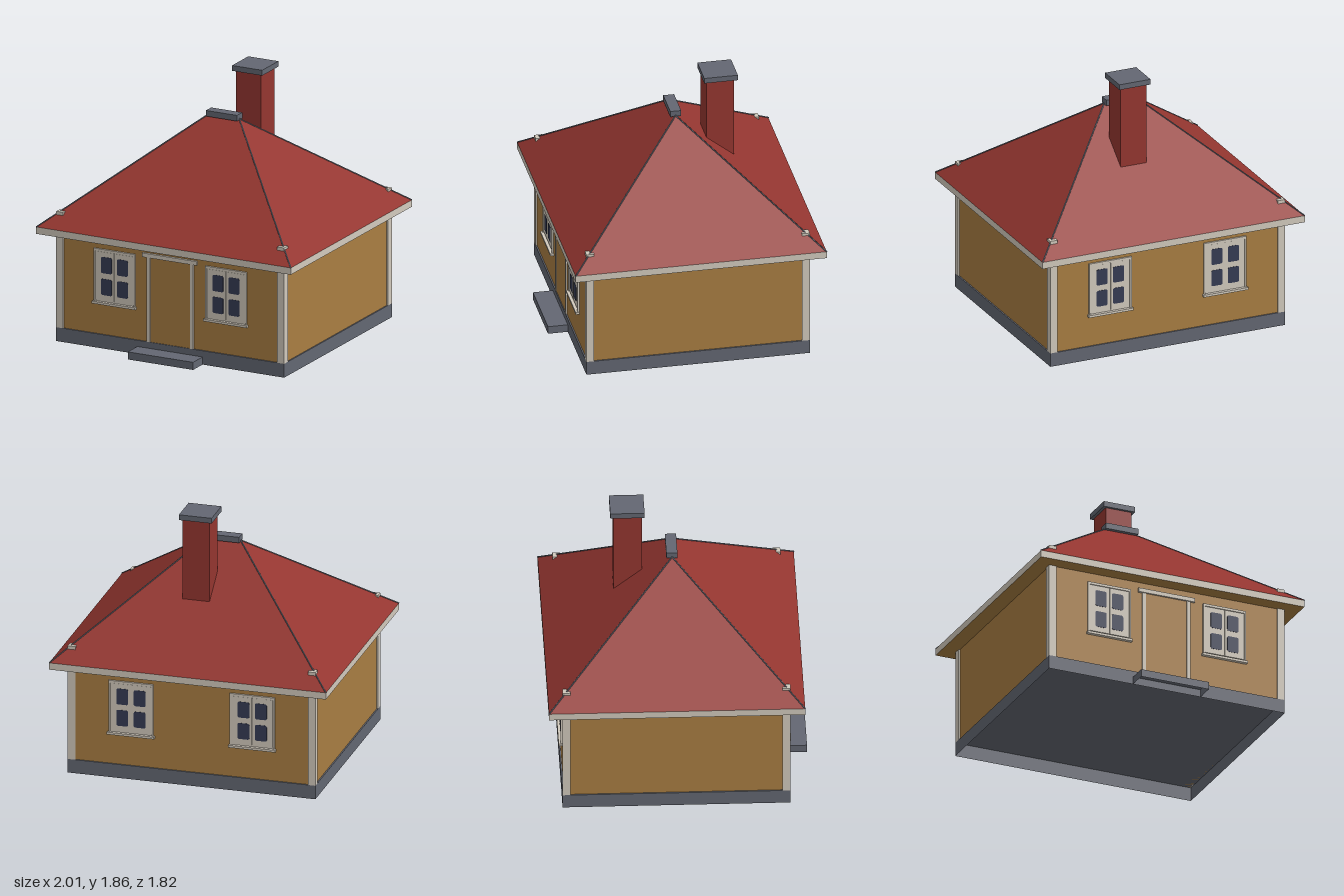
import * as THREE from 'three';

const mat = (name, color, side = THREE.FrontSide) => {
  const m = new THREE.MeshStandardMaterial({ color, side });
  m.name = name;
  return m;
};

export function createModel() {
  const ochre = mat('ochre plaster', 0xa97e42);
  const red = mat('red tile', 0x943630);
  const cream = mat('cream trim', 0xd2cabd);
  const slate = mat('slate stone', 0x636772, THREE.DoubleSide);
  const glass = mat('window glass', 0x363c54);

  const house = new THREE.Group();
  house.name = 'house';
  const CZ = -0.02; // the house body sits slightly behind the origin, the step in front

  const add = (parent, name, geometry, material) => {
    const mesh = new THREE.Mesh(geometry, material);
    mesh.name = name;
    parent.add(mesh);
    return mesh;
  };
  // Box given by its extents
  const box = (parent, name, material, x0, x1, y0, y1, z0, z1) => {
    const g = new THREE.BoxGeometry(x1 - x0, y1 - y0, z1 - z0);
    g.translate((x0 + x1) / 2, (y0 + y1) / 2, (z0 + z1) / 2);
    return add(parent, name, g, material);
  };
  // Box without its underside
  const openBox = (...args) => {
    const mesh = box(...args);
    const index = Array.from(mesh.geometry.index.array);
    index.splice(18, 6);
    mesh.geometry.setIndex(index);
    mesh.geometry.clearGroups();
    return mesh;
  };

  // Stone base and doorstep, hollow below
  openBox(house, 'foundation', slate, -0.895, 0.895, 0, 0.1, -0.81, 0.77);
  openBox(house, 'doorstep', slate, -0.258, 0.255, 0, 0.055, 0.77, 0.91);

  // Walls and corner boards, whose tops poke through the roof
  box(house, 'walls', ochre, -0.885, 0.885, 0.1, 0.8, -0.8, 0.76);
  for (const sx of [-1, 1]) {
    for (const sz of [-1, 1]) {
      const x = sx * 0.8675, z = CZ + sz * 0.7625;
      box(house, 'cornerBoard', cream, x - 0.0275, x + 0.0275, 0.1, 0.942, z - 0.0275, z + 0.0275);
    }
  }

  // Eaves: cream fascia with ochre soffit
  const EX = 1, EZ = 0.888, EY = 0.84, RX = 0.12, RY = 1.545;
  box(house, 'eaves', [cream, cream, cream, ochre, cream, cream],
    -EX, EX, 0.79, EY, CZ - EZ, CZ + EZ);

  // Hipped roof: four flat slopes
  const corner = (sx, sz) => [sx * EX, EY, CZ + sz * EZ];
  const ridge = (sx) => [sx * RX, RY, CZ];
  const slopes = [];
  for (const s of [1, -1]) {
    slopes.push(corner(-s, s), corner(s, s), ridge(s));
    slopes.push(corner(-s, s), ridge(s), ridge(-s));
    slopes.push(corner(s, s), corner(s, -s), ridge(s));
  }
  const roof = new THREE.BufferGeometry();
  roof.setAttribute('position', new THREE.Float32BufferAttribute(slopes.flat(), 3));
  roof.computeVertexNormals();
  add(house, 'roof', roof, red);

  // Thin strips along the hips, and the ridge cap
  for (const sx of [-1, 1]) {
    for (const sz of [-1, 1]) {
      const path = new THREE.LineCurve3(
        new THREE.Vector3(...corner(sx, sz)), new THREE.Vector3(...ridge(sx)));
      add(house, 'hipStrip', new THREE.TubeGeometry(path, 1, 0.005, 6), slate);
    }
  }
  box(house, 'ridgeCap', slate, -0.122, 0.122, 1.538, 1.58, -0.06, 0.017);

  // Chimney behind the ridge
  box(house, 'chimney', red, -0.015, 0.18, 1.1, 1.82, -0.422, -0.226);
  box(house, 'chimneyCap', slate, -0.037, 0.2, 1.818, 1.857, -0.445, -0.207);

  // Rounded glass pane
  const paneGeometry = (w, h, r) => {
    const s = new THREE.Shape();
    s.moveTo(-w / 2 + r, -h / 2);
    s.absarc(w / 2 - r, -h / 2 + r, r, -Math.PI / 2, 0);
    s.absarc(w / 2 - r, h / 2 - r, r, 0, Math.PI / 2);
    s.absarc(-w / 2 + r, h / 2 - r, r, Math.PI / 2, Math.PI);
    s.absarc(-w / 2 + r, -h / 2 + r, r, Math.PI, Math.PI * 1.5);
    return new THREE.ExtrudeGeometry(s, { depth: 0.004, bevelEnabled: false, curveSegments: 3 });
  };
  const pane = paneGeometry(0.085, 0.118, 0.012);

  // Two-leaf window, with z = 0 on the wall face
  const makeWindow = () => {
    const w = new THREE.Group();
    w.name = 'window';
    box(w, 'windowBacking', cream, -0.15, 0.15, 0.338, 0.71, -0.01, 0.003);
    box(w, 'windowHead', cream, -0.162, 0.162, 0.702, 0.72, -0.01, 0.013);
    box(w, 'windowSill', cream, -0.17, 0.17, 0.321, 0.338, -0.01, 0.026);
    for (const s of [-1, 1]) {
      box(w, 'windowJamb', cream, s * 0.156 - 0.006, s * 0.156 + 0.006, 0.338, 0.702, -0.01, 0.013);
      box(w, 'windowSash', cream, s * 0.076 - 0.072, s * 0.076 + 0.072, 0.35, 0.7, -0.01, 0.009);
      for (const y of [0.447, 0.606]) {
        add(w, 'windowPane', pane, glass).position.set(s * 0.063, y, 0.007);
      }
    }
    return w;
  };
  for (const x of [-0.438, 0.438]) {
    const front = makeWindow();
    front.position.set(x, 0, 0.76);
    const back = makeWindow();
    back.rotation.y = Math.PI;
    back.position.set(x, 0, -0.8);
    house.add(front, back);
  }

  // Front door with frame and head board
  const door = new THREE.Group();
  door.name = 'door';
  box(door, 'doorLeaf', ochre, -0.158, 0.152, 0.1, 0.715, 0.75, 0.764);
  for (const s of [-1, 1]) {
    const x = -0.003 + s * 0.17;
    box(door, 'doorJamb', cream, x - 0.013, x + 0.013, 0.1, 0.715, 0.75, 0.77);
  }
  box(door, 'doorHead', cream, -0.217, 0.211, 0.714, 0.743, 0.75, 0.778);
  house.add(door);

  return house;
}
